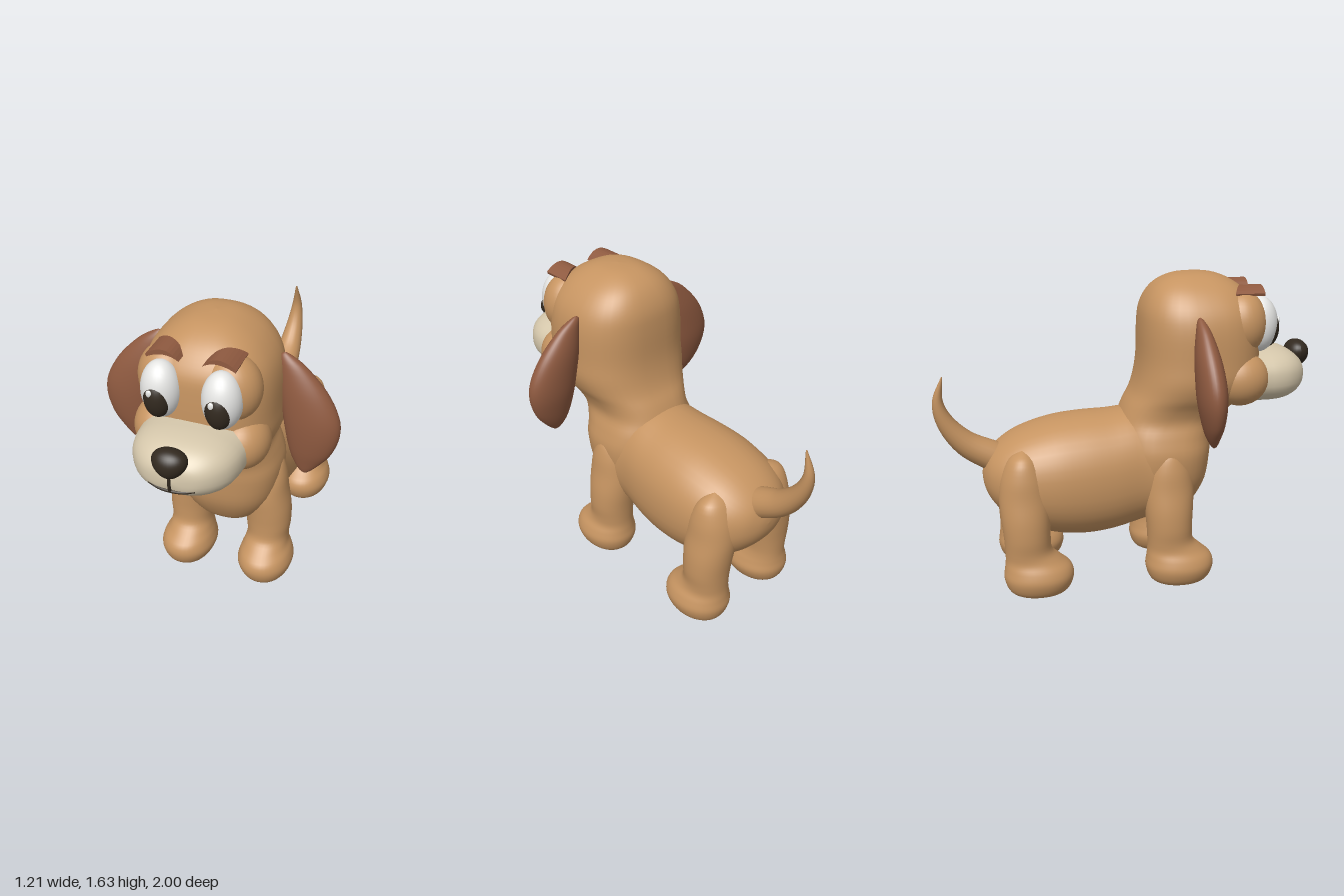
import * as THREE from 'three';

const mat = (name, color) => {
  const m = new THREE.MeshStandardMaterial({ color });
  m.name = name;
  return m;
};

// Uniform Catmull-Rom through the rows of a section table
function smoothRows(rows, steps) {
  const out = [];
  const at = i => rows[Math.min(Math.max(i, 0), rows.length - 1)];
  for (let i = 0; i < rows.length - 1; i++) {
    for (let k = 0; k < steps; k++) {
      const t = k / steps;
      const [p, q, r, s] = [at(i - 1), at(i), at(i + 1), at(i + 2)];
      out.push(q.map((_, c) => q[c] + 0.5 * t * (r[c] - p[c]
        + t * (2 * p[c] - 5 * q[c] + 4 * r[c] - s[c] + t * (3 * (q[c] - r[c]) + s[c] - p[c])))));
    }
  }
  out.push(rows[rows.length - 1]);
  return out;
}

// Skin over rounded sections [t, xMin, xMax, bMin, bMax, roundness].
// axis 'y': t rises, b is z.  axis 'z': t falls, b is y.
function loft(axis, rows, side = 1, steps = 4, sides = 40) {
  const rings = smoothRows(rows, steps), pos = [], index = [];
  const power = (v, n) => Math.sign(v) * Math.pow(Math.abs(v), 2 / n);
  rings.forEach(([t, x0, x1, b0, b1, n], i) => {
    for (let j = 0; j < sides; j++) {
      const a = j / sides * Math.PI * 2;
      const x = side * (x0 + x1) / 2 + Math.max(0, x1 - x0) / 2 * power(Math.cos(a), n);
      const b = (b0 + b1) / 2 + Math.max(0, b1 - b0) / 2 * power(Math.sin(a), n);
      pos.push(x, ...(axis === 'y' ? [t, b] : [b, t]));
      if (i < rings.length - 1) {
        const p = i * sides + j, q = i * sides + (j + 1) % sides;
        index.push(p, p + sides, q, q, p + sides, q + sides);
      }
    }
  });
  const g = new THREE.BufferGeometry();
  g.setAttribute('position', new THREE.Float32BufferAttribute(pos, 3));
  g.setIndex(index);
  g.computeVertexNormals();
  return g;
}

const symmetric = (rows, n) => rows.map(([t, rx, b0, b1]) => [t, -rx, rx, b0, b1, n]);

export function createModel() {
  const group = new THREE.Group();
  const tan = mat('tan coat', 0xc69461);
  const brown = mat('brown ears', 0x8f5a40);
  const cream = mat('cream muzzle', 0xd6c8ac);
  const dark = mat('dark nose', 0x32291f);
  const white = mat('eye white', 0xe6e6e4);

  const add = (name, geometry, material) => {
    const m = new THREE.Mesh(geometry, material);
    m.name = name;
    group.add(m);
    return m;
  };
  const ball = (name, material, p, r) => {
    const m = add(name, new THREE.SphereGeometry(1, 32, 24), material);
    m.position.set(...p);
    m.scale.set(...r);
    return m;
  };

  // Torso, chest to rump
  add('torso', loft('z', symmetric([
    [0.38, 0, 0.56, 0.56], [0.35, 0.16, 0.43, 0.7], [0.2, 0.26, 0.35, 0.86],
    [0.05, 0.272, 0.3, 0.92], [-0.1, 0.295, 0.265, 0.912], [-0.25, 0.31, 0.255, 0.905],
    [-0.4, 0.31, 0.275, 0.885], [-0.55, 0.285, 0.325, 0.84], [-0.65, 0.235, 0.39, 0.785],
    [-0.72, 0.155, 0.47, 0.72], [-0.752, 0.07, 0.54, 0.65], [-0.76, 0, 0.6, 0.6]], 2.2)), tan);

  // Chest, neck and head in one skin
  add('headAndNeck', loft('y', symmetric([
    [0.33, 0, 0.2, 0.2], [0.36, 0.12, 0.08, 0.31], [0.43, 0.2, 0, 0.37],
    [0.55, 0.262, -0.05, 0.425], [0.7, 0.285, -0.06, 0.445], [0.8, 0.265, -0.06, 0.455],
    [0.88, 0.242, -0.04, 0.5], [0.95, 0.26, -0.01, 0.57], [1.02, 0.3, 0.03, 0.65],
    [1.1, 0.325, 0.055, 0.69], [1.2, 0.325, 0.068, 0.695], [1.35, 0.32, 0.07, 0.69],
    [1.45, 0.295, 0.08, 0.675], [1.53, 0.24, 0.115, 0.62], [1.585, 0.17, 0.17, 0.55],
    [1.62, 0.09, 0.25, 0.46], [1.63, 0, 0.35, 0.35]], 2.5)), tan);

  // Muzzle, nose and mouth
  add('muzzle', loft('z', symmetric([
    [0.955, 0, 1.08, 1.08], [0.945, 0.09, 1.03, 1.14], [0.92, 0.15, 1, 1.175],
    [0.87, 0.205, 0.968, 1.21], [0.8, 0.245, 0.95, 1.23], [0.7, 0.262, 0.947, 1.235],
    [0.55, 0.25, 0.96, 1.22], [0.5, 0, 1.09, 1.09]], 2.4)), cream);
  const nose = new THREE.SphereGeometry(1, 32, 24);
  const np = nose.attributes.position;
  for (let i = 0; i < np.count; i++) np.setX(i, np.getX(i) * (1 + 0.25 * np.getY(i)));
  nose.computeVertexNormals();
  const noseMesh = add('nose', nose, dark);
  noseMesh.position.set(0, 1.178, 0.935);
  noseMesh.scale.set(0.08, 0.072, 0.065);
  const line = (name, pts, r) => add(name, new THREE.TubeGeometry(
    new THREE.CatmullRomCurve3(pts.map(p => new THREE.Vector3(...p))), 24, r, 8), dark);
  line('mouth', [[-0.11, 1.045, 0.927], [-0.06, 1.035, 0.942], [0, 1.033, 0.948],
    [0.06, 1.035, 0.942], [0.11, 1.045, 0.927]], 0.008);
  line('noseLine', [[0, 1.12, 0.955], [0, 1.08, 0.957], [0, 1.033, 0.949]], 0.008);

  // Leg with paw; the back pair repeats the front pair further back
  const legRows = [[0, 0.225, 0.225, 0.25, 0.25], [0.008, 0.15, 0.3, 0.15, 0.35],
    [0.035, 0.105, 0.345, 0.095, 0.405], [0.1, 0.075, 0.37, 0.07, 0.432],
    [0.155, 0.085, 0.358, 0.075, 0.42], [0.2, 0.1, 0.335, 0.08, 0.37],
    [0.25, 0.108, 0.33, 0.08, 0.322], [0.33, 0.1, 0.338, 0.075, 0.315],
    [0.43, 0.085, 0.335, 0.065, 0.32], [0.54, 0.06, 0.318, 0.06, 0.325],
    [0.65, 0.05, 0.305, 0.075, 0.305], [0.74, 0.09, 0.27, 0.12, 0.25], [0.78, 0.18, 0.18, 0.19, 0.19]];

  for (const [side, label] of [[1, 'left'], [-1, 'right']]) {
    for (const [end, dz] of [['Front', 0], ['Back', -0.75]]) {
      add(label + end + 'Leg', loft('y',
        legRows.map(([y, x0, x1, z0, z1]) => [y, x0, x1, z0 + dz, z1 + dz, 2.1]), side), tan);
    }

    // Drooping ear
    add(label + 'Ear', loft('y', [
      [0.815, 0.445, 0.445, 0.36], [0.83, 0.42, 0.472, 0.358, 0.015], [0.88, 0.385, 0.522, 0.35, 0.035],
      [0.95, 0.358, 0.572, 0.345, 0.053], [1.05, 0.335, 0.603, 0.338, 0.068],
      [1.15, 0.317, 0.593, 0.333, 0.07], [1.27, 0.3, 0.528, 0.325, 0.06],
      [1.38, 0.295, 0.425, 0.318, 0.036], [1.43, 0.295, 0.35, 0.312, 0.016],
      [1.445, 0.315, 0.315, 0.31]].map(([y, a, b, z, r = 0]) => [y, a, b, z - r, z + r, 2]), side), brown);

    // Face mounds
    ball(label + 'EyeSocket', tan, [side * 0.155, 1.38, 0.57], [0.14, 0.165, 0.13]);
    ball(label + 'Cheek', tan, [side * 0.2, 1.1, 0.56], [0.132, 0.14, 0.15]);

    // Eye
    const ex = side * 0.145;
    ball(label + 'EyeWhite', white, [ex, 1.37, 0.67], [0.095, 0.143, 0.095]);
    ball(label + 'Pupil', dark, [ex, 1.348, 0.716], [0.065, 0.098, 0.06]);
    ball(label + 'EyeGlint', white, [ex - 0.018, 1.39, 0.764], [0.015, 0.019, 0.009]);

    // Arched brow, swept back at its outer end
    const arch = new THREE.Shape();
    arch.moveTo(side * 0.055, 1.525);
    arch.quadraticCurveTo(side * 0.12, 1.61, side * 0.212, 1.535);
    arch.lineTo(side * 0.208, 1.522);
    arch.quadraticCurveTo(side * 0.12, 1.57, side * 0.055, 1.525);
    const brow = new THREE.ExtrudeGeometry(arch, { depth: 0.155, bevelEnabled: false, curveSegments: 10 });
    const bp = brow.attributes.position;
    for (let i = 0; i < bp.count; i++) {
      const back = bp.getZ(i) < 0.01;
      const inward = (0.21 - Math.abs(bp.getX(i))) / 0.155;
      bp.setZ(i, back ? 0.52 + 0.08 * inward : 0.675);
    }
    brow.computeVertexNormals();
    add(label + 'Brow', brow, brown);
  }

  // Tapered tail: a tube narrowed along its path
  const path = new THREE.CatmullRomCurve3([[0.66, -0.62], [0.7, -0.71], [0.775, -0.84], [0.89, -0.935],
    [1, -0.968], [1.13, -0.94]].map(([y, z]) => new THREE.Vector3(0, y, z)));
  const seg = 32, radial = 20;
  const tail = new THREE.TubeGeometry(path, seg, 1, radial);
  const tp = tail.attributes.position, v = new THREE.Vector3();
  for (let i = 0; i < tp.count; i++) {
    const t = Math.floor(i / (radial + 1)) / seg;
    const c = path.getPointAt(t);
    const r = 0.003 + 0.08 * (1 - Math.pow(t, 1.6));
    v.fromBufferAttribute(tp, i).sub(c).multiplyScalar(r).add(c);
    tp.setXYZ(i, v.x, v.y, v.z);
  }
  add('tail', tail, tan);

  return group;
}
